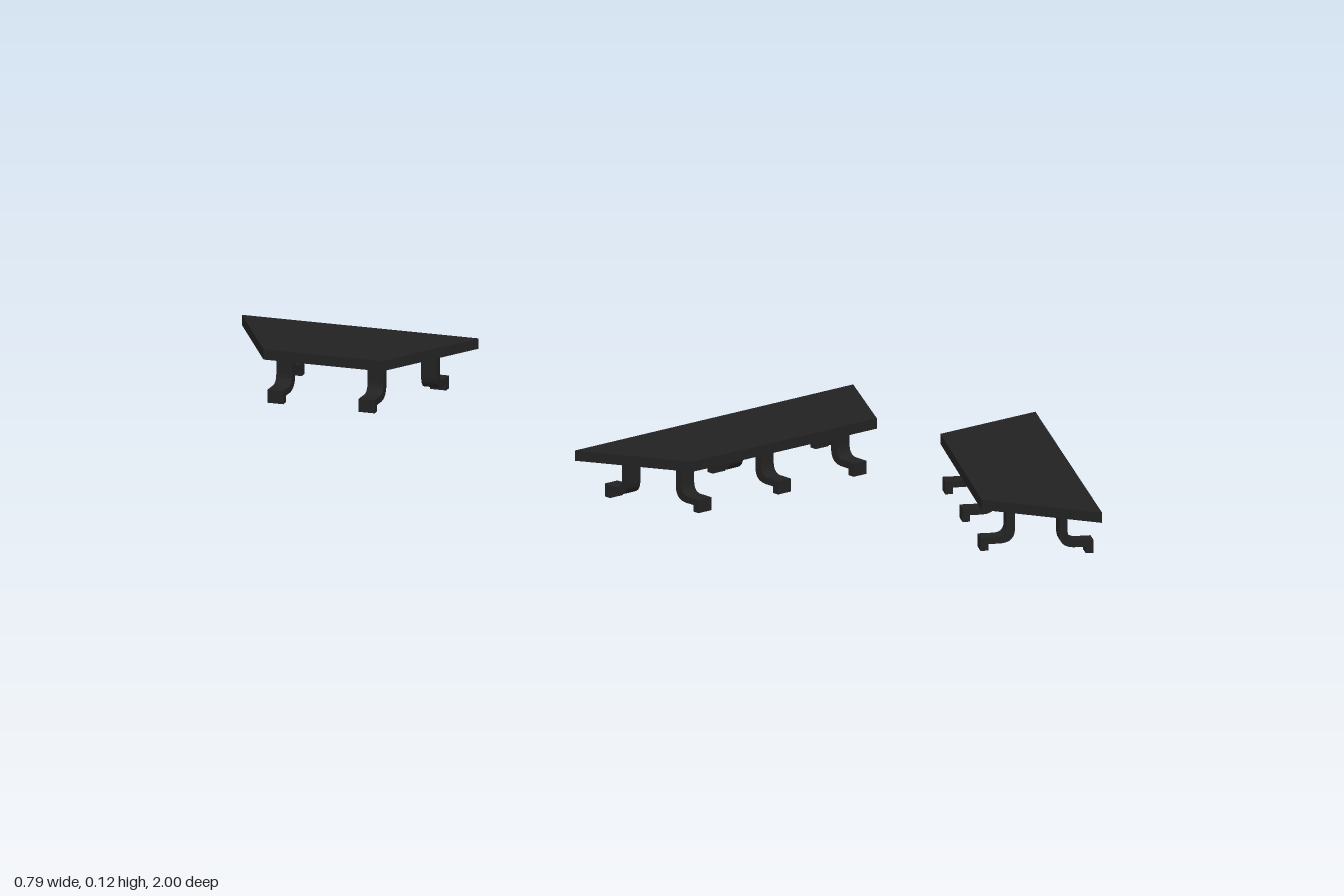
import * as THREE from 'three';

const material = new THREE.MeshStandardMaterial({ color: 0x222222, flatShading: true });
const THICK = 0.019, LEG_WIDTH = 0.03, LEG_HEIGHT = 0.079;

// Slab outlines as [x, z]; legs as [corner index, next corner index, positions along that edge]
const BENCHES = [
  {
    name: 'backBench', base: 0,
    corners: [[-0.26, -1], [-0.03, -0.617], [-0.255, -0.613], [-0.37, -0.805]],
    legs: [[0, 1, [0.23, 0.84]], [3, 2, [0.1, 0.87]]],
  },
  {
    name: 'middleBench', base: 0.02,
    corners: [[-0.395, 0.1], [0.255, 0.085], [0.15, 0.28], [-0.28, 0.287]],
    legs: [[0, 1, [0.13, 0.5, 0.87]], [3, 2, [0.07, 0.5, 0.91]]],
  },
  {
    name: 'frontBench', base: 0.02,
    corners: [[0.175, 0.428], [0.395, 0.425], [0.078, 1], [-0.035, 0.8]],
    legs: [[0, 3, [0.08, 0.5, 0.94]], [1, 2, [0.1, 0.47, 0.85]]],
  },
];

// Bent bracket: post, curved bend, outward foot and a short drop at the tip (tip at x = 0)
function legGeometry() {
  const s = new THREE.Shape();
  s.moveTo(-0.062, LEG_HEIGHT);
  s.lineTo(-0.062, 0.034);
  s.quadraticCurveTo(-0.06, 0.013, -0.036, 0.012);
  s.lineTo(-0.014, 0.012);
  s.lineTo(-0.014, 0);
  s.lineTo(0, 0);
  s.lineTo(0, 0.024);
  s.lineTo(-0.03, 0.024);
  s.quadraticCurveTo(-0.046, 0.025, -0.047, 0.042);
  s.lineTo(-0.047, LEG_HEIGHT);
  const g = new THREE.ExtrudeGeometry(s, { depth: LEG_WIDTH, bevelEnabled: false, curveSegments: 5 });
  return g.translate(0, 0, -LEG_WIDTH / 2);
}

function makeBench({ name, base, corners, legs }, legGeo) {
  const bench = new THREE.Group();
  bench.name = name;
  const points = corners.map(([x, z]) => new THREE.Vector2(x, z));
  const centre = points.reduce((sum, p) => sum.add(p), new THREE.Vector2()).divideScalar(points.length);

  // Flat slab
  const slabGeo = new THREE.ExtrudeGeometry(new THREE.Shape(points), { depth: THICK, bevelEnabled: false });
  slabGeo.rotateX(Math.PI / 2);
  const slab = new THREE.Mesh(slabGeo, material);
  slab.name = 'slab';
  slab.position.y = base + LEG_HEIGHT + THICK;
  bench.add(slab);

  // Legs facing outward along both long edges
  for (const [from, to, stops] of legs) {
    const a = points[from], b = points[to];
    const normal = new THREE.Vector2(b.y - a.y, a.x - b.x).normalize();
    if (normal.dot(a.clone().sub(centre)) < 0) normal.negate();
    for (const t of stops) {
      const p = a.clone().lerp(b, t);
      const leg = new THREE.Mesh(legGeo, material);
      leg.name = 'leg';
      leg.position.set(p.x, base, p.y);
      leg.rotation.y = Math.atan2(-normal.y, normal.x);
      bench.add(leg);
    }
  }
  return bench;
}

export function createModel() {
  const model = new THREE.Group();
  model.name = 'benches';
  const legGeo = legGeometry();
  for (const spec of BENCHES) model.add(makeBench(spec, legGeo));
  return model;
}
